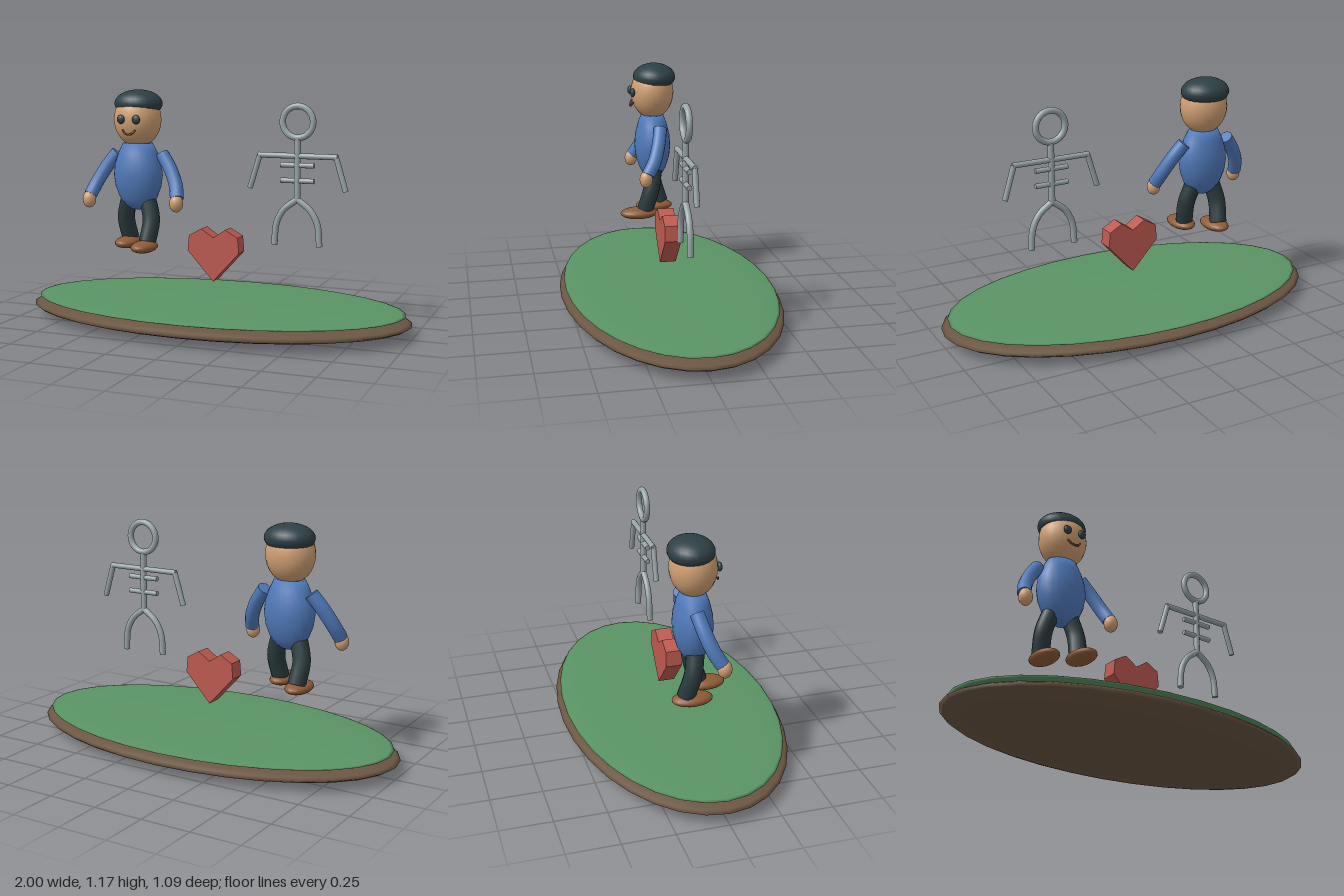
import * as THREE from 'three';

const mat = (color, side = THREE.FrontSide) => new THREE.MeshStandardMaterial({ color, side });
const grass = mat(0x5a9464);
const soil = mat(0x6b5642);
const skin = mat(0xcf9f72);
const dark = mat(0x2d4046);
const trousers = mat(0x2a3a3d, THREE.DoubleSide);
const shirt = mat(0x4f79b9, THREE.DoubleSide);
const leather = mat(0x8f5c36);
const lip = mat(0x7a4a30);
const red = mat(0xbd5a50);
const bone = mat(0x98a4a6, THREE.DoubleSide);

const v = (p) => new THREE.Vector3(...p);

function add(parent, name, geometry, material) {
  const mesh = new THREE.Mesh(geometry, material);
  mesh.name = name;
  parent.add(mesh);
  return mesh;
}

function ellipsoid(parent, name, material, radii, pos, w = 24, h = 16) {
  const mesh = add(parent, name, new THREE.SphereGeometry(1, w, h), material);
  mesh.scale.set(...radii);
  mesh.position.set(...pos);
  return mesh;
}

// Curved limb with flat end caps
function tube(parent, name, material, points, radius, sides = 12) {
  const curve = new THREE.CatmullRomCurve3(points.map(v));
  const limb = add(parent, name, new THREE.TubeGeometry(curve, 16, radius, sides), material);
  for (const t of [0, 1]) {
    const cap = add(limb, name + 'End', new THREE.CircleGeometry(radius, sides), material);
    cap.position.copy(curve.getPointAt(t));
    const dir = curve.getTangentAt(t).multiplyScalar(t ? 1 : -1);
    cap.quaternion.setFromUnitVectors(new THREE.Vector3(0, 0, 1), dir);
  }
  return limb;
}

// Straight rod between two points
function rod(parent, name, a, b, radius) {
  const from = v(a), to = v(b), dir = to.clone().sub(from);
  const mesh = add(parent, name, new THREE.CylinderGeometry(radius, radius, dir.length(), 12), bone);
  mesh.position.copy(from).add(to).multiplyScalar(0.5);
  mesh.quaternion.setFromUnitVectors(new THREE.Vector3(0, 1, 0), dir.normalize());
}

function createIsland() {
  const g = new THREE.Group();
  g.name = 'island';
  ellipsoid(g, 'soil', soil, [1, 0.06, 0.545], [0, 0.06, 0], 32, 16);
  ellipsoid(g, 'grass', grass, [0.968, 0.018, 0.523], [0, 0.104, 0], 32, 16);
  return g;
}

function createMan() {
  const g = new THREE.Group();
  g.name = 'man';

  // Head
  ellipsoid(g, 'head', skin, [0.123, 0.14, 0.112], [0, 1.02, 0]);
  ellipsoid(g, 'hair', dark, [0.126, 0.07, 0.11], [0, 1.1, -0.011]);
  for (const s of [-1, 1]) {
    ellipsoid(g, 'eye', dark, [0.022, 0.023, 0.013], [s * 0.042, 1.025, 0.111], 12, 8);
  }
  tube(g, 'mouth', lip, [[-0.035, 0.972, 0.106], [-0.02, 0.955, 0.113],
    [0, 0.949, 0.117], [0.02, 0.955, 0.113], [0.035, 0.972, 0.106]], 0.005, 6);

  // Pear-shaped torso
  const profile = [[0, 0.555], [0.035, 0.56], [0.07, 0.58], [0.1, 0.62], [0.122, 0.675],
    [0.131, 0.735], [0.125, 0.79], [0.105, 0.85], [0.08, 0.9], [0, 0.9]];
  const torso = add(g, 'torso', new THREE.LatheGeometry(
    profile.map(([x, y]) => new THREE.Vector2(x, y)), 24), shirt);
  torso.scale.z = 0.72;

  // Limbs: the left leg steps forward
  for (const s of [-1, 1]) {
    tube(g, 'arm', shirt, [[s * 0.125, 0.845, -0.02], [s * 0.18, 0.77, 0],
      [s * 0.222, 0.69, 0.03], [s * 0.242, 0.63, 0.065]], 0.035);
    ellipsoid(g, 'hand', skin, [0.035, 0.044, 0.034], [s * 0.243, 0.608, 0.077], 16, 12);
    tube(g, 'leg', trousers, [[s * 0.05, 0.62, 0], [s * 0.08, 0.51, s * 0.02],
      [s * 0.072, 0.4, s * 0.052]], 0.044);
    ellipsoid(g, 'shoe', leather, [0.062, 0.031, 0.1], [s * 0.07, 0.38, 0.033 + s * 0.053], 20, 12);
  }
  g.position.x = -0.427;
  return g;
}

// Faceted heart slab
function createHeart() {
  const half = [[0, 0.44], [0.064, 0.483], [0.13, 0.446], [0.137, 0.368], [0, 0.218]];
  const outline = [...half, ...half.slice(1, 4).reverse().map(([x, y]) => [-x, y])];
  const shape = new THREE.Shape(outline.map(([x, y]) => new THREE.Vector2(x, y)));
  const geo = new THREE.ExtrudeGeometry(shape, { depth: 0.082, bevelEnabled: false });
  geo.translate(0, 0, -0.041);
  const heart = new THREE.Mesh(geo, red);
  heart.name = 'heart';
  return heart;
}

function createSkeleton() {
  const g = new THREE.Group();
  g.name = 'skeleton';
  const r = 0.016;
  const skull = add(g, 'skullRing', new THREE.TorusGeometry(0.077, r, 12, 28), bone);
  skull.position.y = 1.027;
  rod(g, 'spine', [0, 0.945, 0], [0, 0.645, 0], r);
  rod(g, 'shoulderBar', [-0.2, 0.862, 0], [0.2, 0.862, 0], 0.014);
  for (const y of [0.817, 0.741]) rod(g, 'rib', [-0.085, y, 0], [0.085, y, 0], 0.013);
  for (const s of [-1, 1]) {
    rod(g, 'armBone', [s * 0.193, 0.862, 0], [s * 0.243, 0.697, 0], 0.014);
    tube(g, 'legBone', bone, [[0, 0.65, 0], [s * 0.068, 0.597, 0],
      [s * 0.104, 0.53, 0], [s * 0.115, 0.422, 0]], r);
  }
  g.position.x = 0.424;
  return g;
}

export function createModel() {
  const model = new THREE.Group();
  model.name = 'islandScene';
  model.add(createIsland(), createMan(), createHeart(), createSkeleton());
  return model;
}
